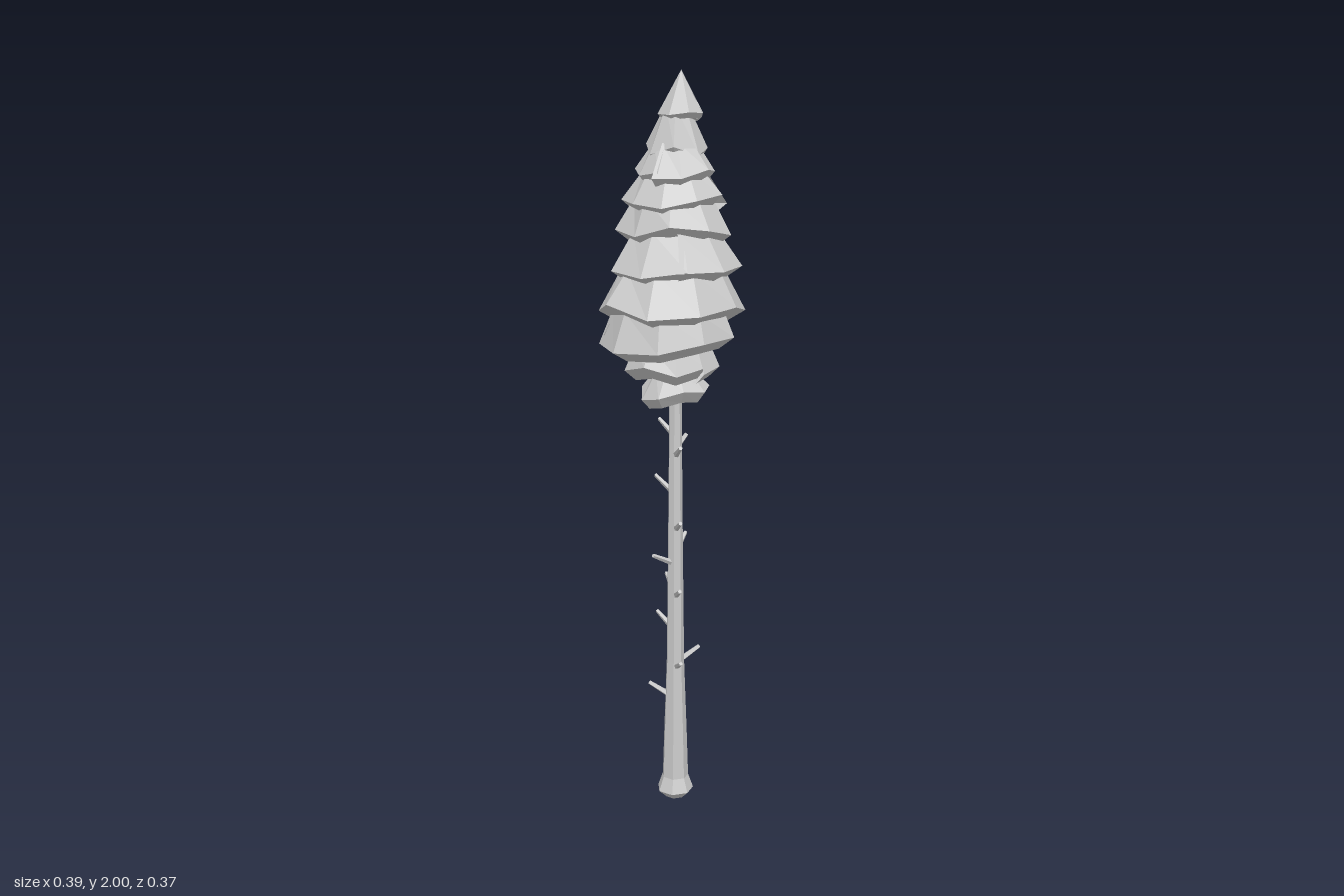
import * as THREE from 'three';

const bark = new THREE.MeshStandardMaterial({ color: 0xcccccc, flatShading: true });
const leaf = new THREE.MeshStandardMaterial({ color: 0xcccccc, flatShading: true, side: THREE.DoubleSide });

function seeded(seed) {
  return () => {
    seed = (seed * 16807) % 2147483647;
    return seed / 2147483647;
  };
}

// One skirt of foliage: a ragged cone wrapped around the trunk, its ends overlapping at a seam
function tierGeometry(t, rand) {
  const n = t.sides, start = t.turn, sweep = Math.PI * 2 + 0.12;
  const pos = [], idx = [];
  for (let i = 0; i <= n; i++) {
    const a = start + (i / n) * sweep;
    const wrap = 1.03 - 0.06 * (i / n);               // slight spiral
    const jr = wrap * (0.95 + 0.1 * rand());
    const jy = (rand() - 0.5) * t.ragged;
    const rings = [
      [t.topR * wrap, t.topY],
      [t.r * jr, t.y + jy],
      [t.r * jr * 0.76, t.y + jy * 0.8 - t.drop],
      [0, t.y - t.drop],
    ];
    for (const [r, y] of rings) pos.push(t.x + r * Math.sin(a), y, t.z + r * Math.cos(a));
    // keep the tip of the crown on its own axis
    if (i === n) break;
    for (let k = 0; k < 3; k++) {
      const p = i * 4 + k, q = p + 4;
      idx.push(p, p + 1, q + 1, p, q + 1, q);
    }
  }
  const g = new THREE.BufferGeometry();
  g.setAttribute('position', new THREE.Float32BufferAttribute(pos, 3));
  g.setIndex(idx);
  g.computeVertexNormals();
  return g;
}

export function createModel() {
  const tree = new THREE.Group();
  tree.name = 'tree';
  const rand = seeded(4217);

  // Trunk: flared foot with a shallow pointed base, tapering up into the crown
  const profile = [[0, 0], [0.028, 0.013], [0.051, 0.035], [0.037, 0.075], [0.033, 0.2],
    [0.025, 0.42], [0.021, 0.75], [0.018, 1.05], [0.016, 1.3]]
    .map(([r, y]) => new THREE.Vector2(r, y));
  const trunk = new THREE.Mesh(new THREE.LatheGeometry(profile, 7), bark);
  trunk.name = 'trunk';
  trunk.position.x = 0.004;
  tree.add(trunk);

  // Broken branch stubs, given by their tips
  const tips = [
    [-0.035, 1.04, 0.063], [0.037, 1.06, 0.01], [0.005, 1.095, -0.065], [0.005, 0.935, -0.08],
    [-0.035, 0.835, 0.063], [0.075, 0.768, -0.035], [-0.072, 0.738, -0.005], [0.04, 0.648, -0.075],
    [-0.037, 0.645, 0.063], [0.005, 0.545, -0.075], [0.077, 0.448, 0.02], [-0.033, 0.437, 0.063],
    [-0.035, 0.345, -0.065],
  ];
  const up = new THREE.Vector3(0, 1, 0);
  const branches = new THREE.Group();
  branches.name = 'branches';
  for (const p of tips) {
    const tip = new THREE.Vector3(...p);
    const root = new THREE.Vector3(0.004, p[1] - 0.038, 0);
    const dir = tip.clone().sub(root);
    const stub = new THREE.Mesh(new THREE.CylinderGeometry(0.0055, 0.009, dir.length(), 5), bark);
    stub.name = 'branch';
    stub.position.copy(root).lerp(tip, 0.5);
    stub.quaternion.setFromUnitVectors(up, dir.normalize());
    branches.add(stub);
  }
  tree.add(branches);

  // Crown tiers: rim radius, rim height, top radius, top height, centre x, centre z
  const tiers = [
    [0.060, 1.890, 0.000, 2.000, 0.020, 0.004],
    [0.079, 1.805, 0.032, 1.910, 0.012, -0.004],
    [0.106, 1.745, 0.058, 1.820, 0.004, -0.004],
    [0.132, 1.675, 0.078, 1.755, 0.008, -0.008],
    [0.144, 1.600, 0.100, 1.685, 0.008, -0.008],
    [0.170, 1.505, 0.112, 1.600, 0.003, -0.004],
    [0.192, 1.405, 0.135, 1.505, -0.001, -0.001],
    [0.174, 1.315, 0.145, 1.400, -0.008, -0.006],
    [0.127, 1.245, 0.098, 1.310, -0.004, -0.005],
    [0.092, 1.180, 0.052, 1.235, -0.004, 0.005],
  ];
  const crown = new THREE.Group();
  crown.name = 'crown';
  tiers.forEach(([r, y, topR, topY, x, z], i) => {
    const geo = tierGeometry({
      r, y, topR, topY, x, z,
      sides: i < 2 ? 7 : 9,
      turn: i * 2.3 + 0.4,
      drop: i === 0 ? 0.012 : 0.028,
      ragged: i === 0 ? 0.015 : 0.035,
    }, rand);
    const mesh = new THREE.Mesh(geo, leaf);
    mesh.name = 'foliageTier';
    crown.add(mesh);
  });
  tree.add(crown);
  return tree;
}
